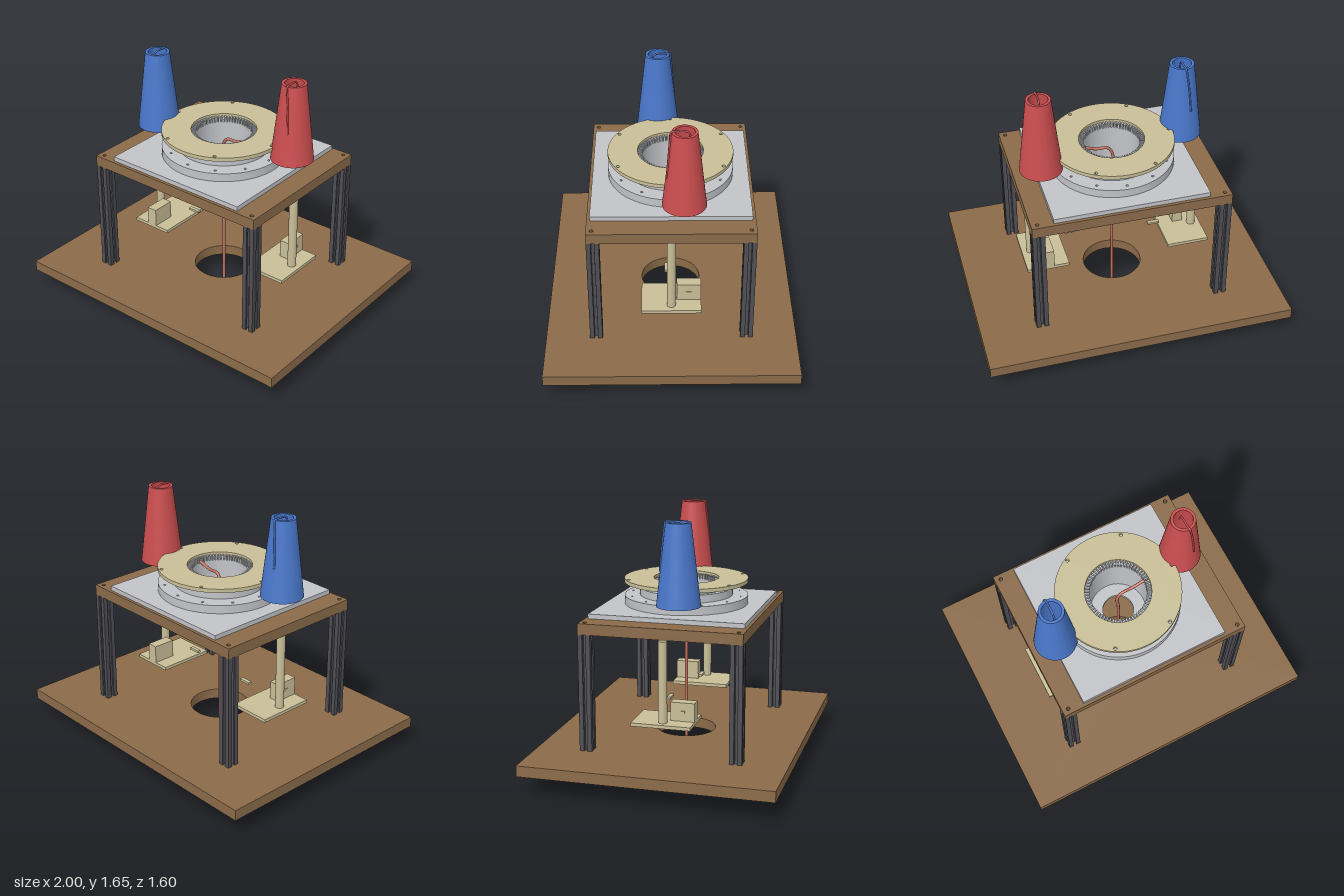
import * as THREE from 'three';
import { toCreasedNormals, mergeGeometries } from 'three/addons/utils/BufferGeometryUtils.js';

const mat = (name, color) => Object.assign(new THREE.MeshStandardMaterial({ color }), { name });

export function createModel() {
  const root = new THREE.Group();
  root.name = 'circularKnittingMachine';
  const M = {
    wood: mat('wood brown', 0x8b6b4a), metal: mat('light grey metal', 0xc2c4c8),
    cream: mat('cream plastic', 0xc9bf98), dark: mat('dark aluminium', 0x4f4f55),
    black: mat('black flange', 0x3a3c42), blue: mat('blue yarn', 0x4a78cc),
    red: mat('red yarn', 0xcc4e50), copper: mat('copper fabric', 0xc0705e),
  };
  const add = (name, geo, material, x = 0, y = 0, z = 0, parent = root) => {
    const m = new THREE.Mesh(geo, material);
    m.name = name;
    m.position.set(x, y, z);
    parent.add(m);
    return m;
  };
  const box = (w, h, d) => new THREE.BoxGeometry(w, h, d);

  // Flat shapes with holes [x, z, radius], extruded upward
  const rect = (w, d) => new THREE.Shape([[-w, -d], [w, -d], [w, d], [-w, d]].map(([x, y]) => new THREE.Vector2(x / 2, y / 2)));
  const disc = (r) => new THREE.Shape().absarc(0, 0, r, 0, Math.PI * 2);
  const slab = (shape, h, holes = []) => {
    for (const [x, z, r] of holes) shape.holes.push(new THREE.Path().absarc(x, -z, r, 0, Math.PI * 2, true));
    const g = new THREE.ExtrudeGeometry(shape, { depth: h, bevelEnabled: false, curveSegments: 32 });
    return toCreasedNormals(g.rotateX(-Math.PI / 2), 0.5);
  };
  const boltCircle = (n, radius, r) => Array.from({ length: n }, (_, i) => {
    const a = i / n * Math.PI * 2;
    return [Math.cos(a) * radius, Math.sin(a) * radius, r];
  });
  const lathe = (pts) => toCreasedNormals(new THREE.LatheGeometry(
    [...pts, pts[0]].map(([x, y]) => new THREE.Vector2(x, y)), 64), 0.5);
  const tube = (pts, r) => new THREE.TubeGeometry(
    new THREE.CatmullRomCurve3(pts.map((p) => new THREE.Vector3(...p))), 60, r, 10);

  // Ring of small needle teeth
  const teeth = (n, r, w, h, d) => mergeGeometries(Array.from({ length: n }, (_, i) =>
    box(w, h, d).translate(0, 0, r).rotateY(i / n * Math.PI * 2)));

  // Boards
  add('baseBoard', slab(rect(2, 1.6), 0.07, [[0, 0, 0.195]]), M.wood, 0, 0.125);
  const corners = [[1, 1], [1, -1], [-1, 1], [-1, -1]];
  add('tableBoard', slab(rect(1.28, 1.04), 0.07,
    [[0, 0, 0.25], ...corners.map(([a, b]) => [a * 0.6, b * 0.485, 0.012])]), M.wood, 0, 0.945);
  add('topPlate', slab(rect(1, 1), 0.03, [[0, 0, 0.21]]), M.metal, 0, 1.015);

  // Slotted legs: one side of the profile repeated four times
  const side = [[-0.04, -0.04], [-0.011, -0.04], [-0.011, -0.03], [-0.02, -0.03], [-0.009, -0.016],
    [0.009, -0.016], [0.02, -0.03], [0.011, -0.03], [0.011, -0.04]];
  const profile = [];
  for (let k = 0; k < 4; k++) {
    for (const p of side) profile.push(new THREE.Vector2(...p).rotateAround(new THREE.Vector2(), k * Math.PI / 2));
  }
  for (const [a, b] of corners) add('leg', slab(new THREE.Shape(profile), 0.75), M.dark, a * 0.6, 0.195, b * 0.48);

  // Stepped bed and cover ring
  add('lowerTier', slab(disc(0.4), 0.055, [[0, 0, 0.21], ...boltCircle(12, 0.36, 0.008)]), M.metal, 0, 1.045);
  add('middleTier', slab(disc(0.3), 0.05, [[0, 0, 0.21]]), M.metal, 0, 1.1);
  add('upperTier', slab(disc(0.27), 0.036, [[0, 0, 0.21]]), M.metal, 0, 1.15);
  add('coverRing', slab(disc(0.4), 0.025, [[0, 0, 0.21], ...boltCircle(6, 0.38, 0.011)]), M.cream, 0, 1.185);

  // Needle cylinder with notched top, lower gear and flange
  add('needleCylinder', lathe([[0.18, 0.86], [0.211, 0.86], [0.211, 1.165], [0.18, 1.165]]), M.metal);
  add('needleTeeth', teeth(60, 0.195, 0.011, 0.03, 0.03), M.metal, 0, 1.18);
  add('lowerCup', lathe([[0.1, 0.845], [0.23, 0.845], [0.23, 0.9], [0.215, 0.9], [0.215, 0.926],
    [0.18, 0.926], [0.18, 0.87], [0.1, 0.87]]), M.metal);
  add('cupTeeth', teeth(60, 0.222, 0.014, 0.026, 0.016), M.metal, 0, 0.913);
  add('flange', slab(disc(0.33), 0.02, [[0, 0, 0.2], ...boltCircle(12, 0.29, 0.009)]), M.black, 0, 0.925);

  // Central strand rising through the bed
  add('centralStrand', tube([[0, 0, 0], [0, 0.5, 0], [0, 0.95, 0], [-0.008, 1.08, 0], [0.025, 1.14, 0],
    [0.1, 1.145, 0], [0.205, 1.18, 0]], 0.01), M.copper);
  add('strandEnd', new THREE.CircleGeometry(0.01, 10).rotateX(Math.PI / 2), M.copper, 0, 0.001, 0);

  // Hanging posts, trays, blocks and feeders; second set turned half round
  for (const k of [0, 1]) {
    const g = new THREE.Group();
    g.name = k ? 'rightFeeder' : 'leftFeeder';
    g.rotation.y = k * Math.PI;
    root.add(g);
    add('post', new THREE.CylinderGeometry(0.028, 0.028, 0.52, 32), M.cream, 0.56, 0.66, 0, g);
    add('tray', box(0.28, 0.022, 0.38), M.cream, 0.48, 0.389, 0, g);
    add('motorBlock', box(0.07, 0.12, 0.155), M.cream, 0.475, 0.46, -0.1125, g);
    add('blockTab', box(0.006, 0.015, 0.035), M.cream, 0.512, 0.46, -0.11, g);
    add('feederBar', box(0.08, 0.014, 0.025), M.cream, 0.28, 0.483, 0.03, g);

    // Yarn cone with loose strand
    const yarn = k ? M.blue : M.red;
    const c = new THREE.Group();
    c.name = 'yarnCone';
    c.position.set(0.48, 1.125, -0.08);
    g.add(c);
    add('cone', lathe([[0.119, 0], [0.137, 0], [0.078, 0.515], [0.06, 0.515]]), yarn, 0, 0, 0, c);
    add('looseStrand', tube([[0, 0.45, -0.04], [0, 0.51, -0.02], [0, 0.518, 0.05], [0.003, 0.515, 0.08],
      [0.012, 0.46, 0.088], [0.026, 0.34, 0.098], [0.035, 0.215, 0.108]], 0.006), yarn, 0, 0, 0, c);
  }
  return root;
}
